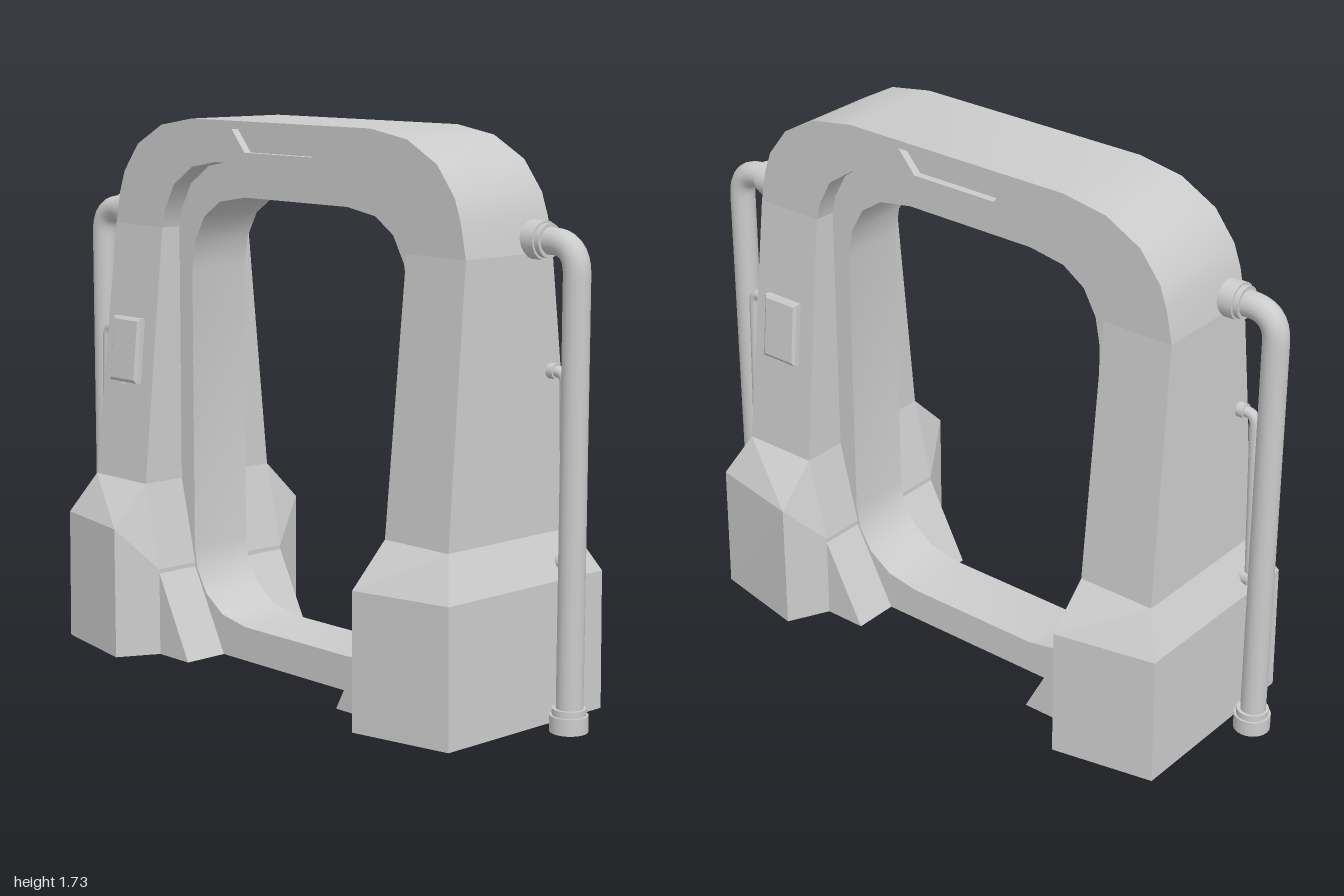
import * as THREE from 'three';
import { toCreasedNormals } from 'three/addons/utils/BufferGeometryUtils.js';
import { ConvexGeometry } from 'three/addons/geometries/ConvexGeometry.js';

const material = new THREE.MeshStandardMaterial({ color: 0xcccccc });

function add(parent, name, geometry) {
  const mesh = new THREE.Mesh(geometry, material);
  mesh.name = name;
  parent.add(mesh);
  return mesh;
}

// Points are [z, y]; the second half mirrors z in reverse order.
const mirrored = (half) => [...half, ...half.map(([z, y]) => [-z, y]).reverse()];
const vectors = (points) => points.map(([z, y]) => new THREE.Vector2(z, y));

// Extrudes a side profile along x, centred on x = 0.
function sideExtrude(outline, width, hole) {
  const shape = new THREE.Shape(vectors(outline));
  if (hole) shape.holes.push(new THREE.Path(vectors(hole)));
  const geometry = new THREE.ExtrudeGeometry(shape, { depth: width, bevelEnabled: false });
  geometry.translate(0, 0, -width / 2).rotateY(-Math.PI / 2);
  return toCreasedNormals(geometry, 0.6);
}

// Convex solid symmetric about x = 0, from [x, y, z] corners on one side.
function symmetricHull(corners) {
  const points = corners.flatMap(([x, y, z]) => [new THREE.Vector3(x, y, z), new THREE.Vector3(-x, y, z)]);
  return new ConvexGeometry(points);
}

// Tube through [y, z] points in the plane x, with rounded corners.
function bentPipe(x, points, radius, bend) {
  const p = points.map(([y, z]) => new THREE.Vector3(x, y, z));
  const path = new THREE.CurvePath();
  let start = p[0];
  for (let i = 1; i < p.length - 1; i++) {
    const before = p[i].clone().add(p[i - 1].clone().sub(p[i]).setLength(bend));
    const after = p[i].clone().add(p[i + 1].clone().sub(p[i]).setLength(bend));
    path.add(new THREE.LineCurve3(start, before));
    path.add(new THREE.QuadraticBezierCurve3(before, p[i], after));
    start = after;
  }
  path.add(new THREE.LineCurve3(start, p[p.length - 1]));
  return new THREE.TubeGeometry(path, 90, radius, 16, false);
}

// Short cylinder; lies along z when flat is true.
function collar(parent, name, radius, length, x, y, z, flat) {
  const mesh = add(parent, name, new THREE.CylinderGeometry(radius, radius, length, 20));
  mesh.position.set(x, y, z);
  if (flat) mesh.rotation.x = Math.PI / 2;
}

function createSide() {
  const side = new THREE.Group();

  // Tapered leg
  add(side, 'leg', symmetricHull([
    [0.26, 0.56, 0.805], [0.26, 0.56, 0.55], [0.18, 1.38, 0.785], [0.18, 1.38, 0.55],
    [0.193, 1.25, 0.557],
  ]));

  // Faceted base block with sloped shoulders
  add(side, 'base', symmetricHull([
    [0.325, 0.01, 0.875], [0.39, 0.01, 0.55], [0.26, 0.01, 0.485],
    [0.325, 0.43, 0.87], [0.39, 0.43, 0.55],
    [0.26, 0.56, 0.805], [0.26, 0.56, 0.55], [0.26, 0.29, 0.485],
  ]));

  // Inner wedge foot
  add(side, 'wedgeFoot', symmetricHull([
    [0.26, 0.01, 0.345], [0.26, 0.01, 0.5], [0.26, 0.28, 0.487],
  ]));

  // Access panel on the sloping outer face
  const panel = new THREE.Group();
  panel.name = 'accessPanel';
  panel.position.set(0.222, 0.98, 0.675);
  panel.rotation.z = Math.atan2(0.08, 0.82);
  add(panel, 'panelBody', new THREE.BoxGeometry(0.03, 0.21, 0.135));
  add(panel, 'panelCover', symmetricHull([
    [0.015, 0.105, 0.0675], [0.015, -0.105, 0.0675], [0.015, 0.105, -0.0675], [0.015, -0.105, -0.0675],
    [0.022, 0.095, 0.058], [0.022, -0.095, 0.058], [0.022, 0.095, -0.058], [0.022, -0.095, -0.058],
  ]));
  add(panel, 'panelLatch', new THREE.BoxGeometry(0.03, 0.012, 0.05)).position.set(0, -0.108, 0.035);
  side.add(panel);

  // Large pipe from the ground to the top of the leg
  add(side, 'largePipe', bentPipe(0.105, [[0.02, 0.945], [1.42, 0.945], [1.42, 0.77]], 0.04, 0.09));
  collar(side, 'largePipeFoot', 0.057, 0.05, 0.105, 0.025, 0.943);
  collar(side, 'largePipeFootLip', 0.05, 0.02, 0.105, 0.06, 0.943);
  collar(side, 'largePipeFlange', 0.057, 0.05, 0.105, 1.42, 0.8, true);
  collar(side, 'largePipeFlangeLip', 0.05, 0.02, 0.105, 1.42, 0.832, true);

  // Small pipe from the shoulder to the leg
  add(side, 'smallPipe', bentPipe(0.17, [[0.47, 0.8], [0.47, 0.865], [1.035, 0.85], [1.035, 0.77]], 0.017, 0.03));
  collar(side, 'smallPipeTopFlange', 0.023, 0.025, 0.17, 1.035, 0.805, true);
  collar(side, 'smallPipeLowFlange', 0.026, 0.03, 0.17, 0.478, 0.853, true);
  return side;
}

export function createModel() {
  const model = new THREE.Group();
  model.name = 'archGate';

  // Top arch with a trapezoid recess on both faces
  const archOuter = [[0.785, 1.38], [0.765, 1.48], [0.74, 1.55], [0.67, 1.64], [0.55, 1.705], [0.4, 1.73]];
  const archInner = [[0.55, 1.38], [0.535, 1.44], [0.49, 1.52], [0.4, 1.58], [0.29, 1.6]];
  const recess = [[0.21, 1.705], [0.15, 1.635], [-0.15, 1.635], [-0.21, 1.705]];
  const arch = [...mirrored(archOuter), ...mirrored(archInner).reverse()];
  add(model, 'topArch', sideExtrude(arch, 0.36, recess));
  add(model, 'recessFloor', sideExtrude(recess, 0.31));

  // Narrow inner ring with the bottom beam
  const ringOuter = [[0.35, 0.01], [0.45, 0.06], [0.55, 0.3], [0.562, 1.25], ...archInner.map(([z, y]) => [z + 0.005, y + 0.005])];
  const ringInner = [[0.24, 0.12], [0.35, 0.14], [0.43, 0.195], [0.475, 0.27], [0.487, 0.34],
    [0.487, 1.25], [0.47, 1.34], [0.425, 1.42], [0.35, 1.47], [0.23, 1.49]];
  add(model, 'innerRing', sideExtrude(mirrored(ringOuter), 0.22, mirrored(ringInner)));

  // Two identical sides, turned half way round from each other
  ['frontSide', 'rearSide'].forEach((name, i) => {
    const side = createSide();
    side.name = name;
    side.rotation.y = i * Math.PI;
    model.add(side);
  });
  return model;
}
